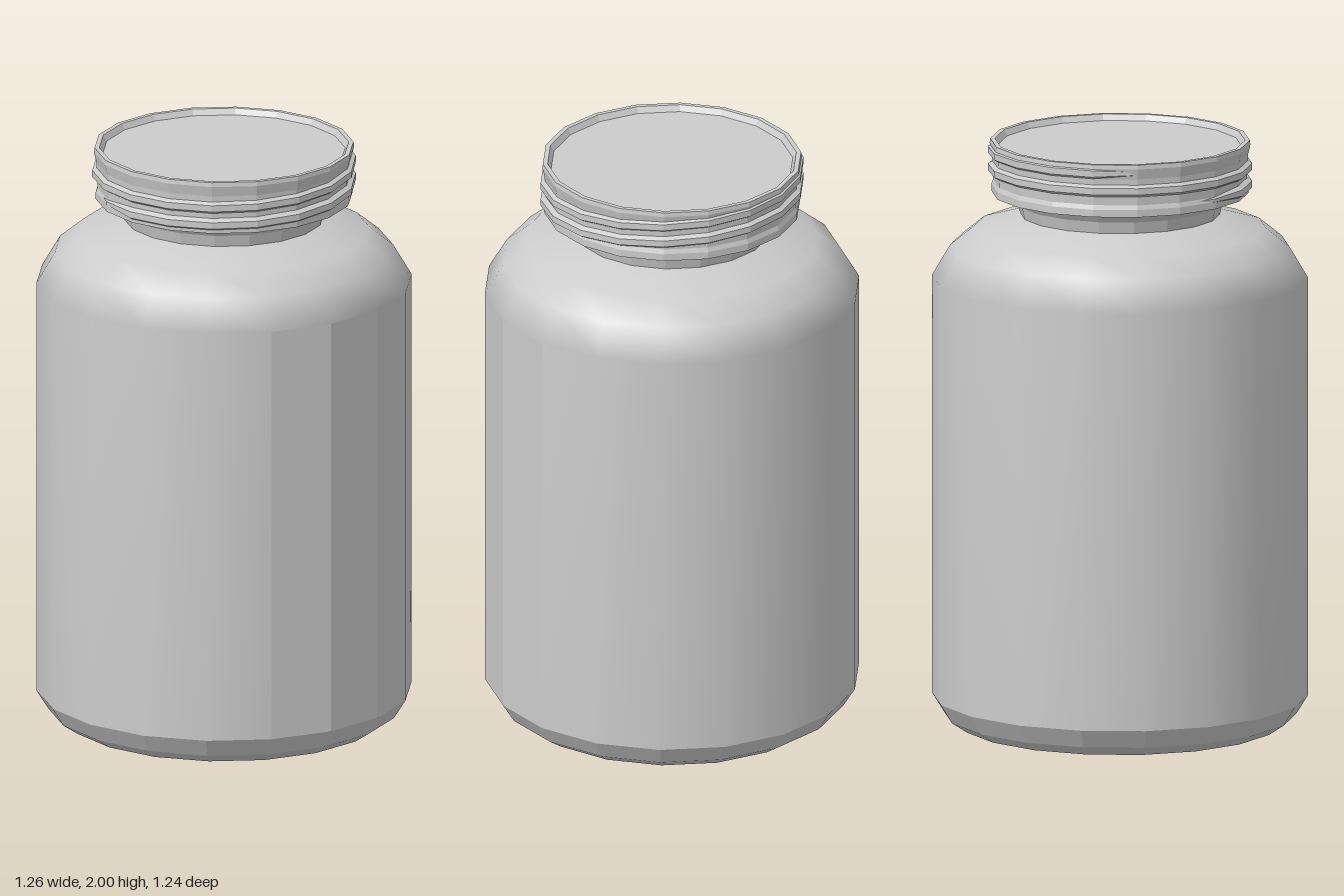
import * as THREE from 'three';

const SIDES = 18;
const STEP = (Math.PI * 2) / SIDES;

const material = (flat) => new THREE.MeshStandardMaterial({ color: 0xcccccc, flatShading: flat });

// Revolve a bottom-to-top profile, with a corner pointing along +x
function revolve(name, points, flat) {
  const profile = points.map(([r, y]) => new THREE.Vector2(r, y));
  const mesh = new THREE.Mesh(new THREE.LatheGeometry(profile, SIDES, Math.PI / 2), material(flat));
  mesh.name = name;
  return mesh;
}

// Raised screw thread: a trapezoid swept round the neck, climbing mostly on the +x side
function threadGeometry(turns, bottom, rise) {
  const section = [[0.422, -0.024], [0.444, -0.011], [0.444, 0.011], [0.422, 0.024]];
  const pos = [], index = [];
  const count = turns * SIDES;
  for (let i = 0; i <= count; i++) {
    const a = -Math.PI + i * STEP;
    const part = (i % SIDES) / SIDES;
    const y = bottom + rise * (Math.floor(i / SIDES) + THREE.MathUtils.smoothstep(part, 0.2, 0.8));
    const size = Math.min(1, i / 2, (count - i) / 2); // taper both ends
    for (const [r, dy] of section) {
      const rr = 0.422 + (r - 0.422) * size;
      pos.push(Math.cos(a) * rr, y + dy * size, -Math.sin(a) * rr);
    }
  }
  for (let i = 0; i < count; i++) {
    for (let j = 0; j < 3; j++) {
      const p = i * 4 + j, q = p + 4;
      index.push(p, q, q + 1, p, q + 1, p + 1);
    }
  }
  const geo = new THREE.BufferGeometry();
  geo.setAttribute('position', new THREE.Float32BufferAttribute(pos, 3));
  geo.setIndex(index);
  geo.computeVertexNormals();
  return geo;
}

export function createModel() {
  const group = new THREE.Group();
  group.name = 'jar';

  // Base with bevelled foot
  group.add(revolve('base', [[0, 0], [0.54, 0], [0.592, 0.035], [0.632, 0.1]], true));

  // Smooth wall and rounded shoulder
  const shoulder = [[0.632, 0.1], [0.632, 1.53], [0.57, 1.635], [0.49, 1.7], [0.335, 1.745]];
  const body = revolve('body', shoulder, false);
  // Leave an opening in the wall for the faceted panel
  const perSide = (shoulder.length - 1) * 6;
  body.geometry.setIndex(Array.from(body.geometry.index.array).filter((_, k) => {
    const side = Math.floor(k / perSide);
    return !(side >= 14 && side <= 16 && k % perSide < 6);
  }));
  group.add(body);

  // Faceted label panel, three sides wide
  const panel = new THREE.Mesh(
    new THREE.CylinderGeometry(0.632, 0.632, 1.43, 3, 1, true, STEP / 2, STEP * 3),
    material(true)
  );
  panel.name = 'labelPanel';
  panel.position.y = 0.815;
  group.add(panel);

  // Neck, flaring out under the collar
  group.add(revolve('neck', [[0.335, 1.745], [0.345, 1.785], [0.37, 1.82]], true));

  // Threaded collar with a shallow recessed top
  group.add(revolve('collar', [
    [0.37, 1.82], [0.432, 1.82], [0.432, 1.845], [0.426, 1.86], [0.43, 1.95],
    [0.438, 1.985], [0.436, 2], [0.42, 2], [0.408, 1.98], [0, 1.98],
  ], true));

  const thread = new THREE.Mesh(threadGeometry(2, 1.85, 0.06), material(true));
  thread.name = 'thread';
  group.add(thread);

  return group;
}
